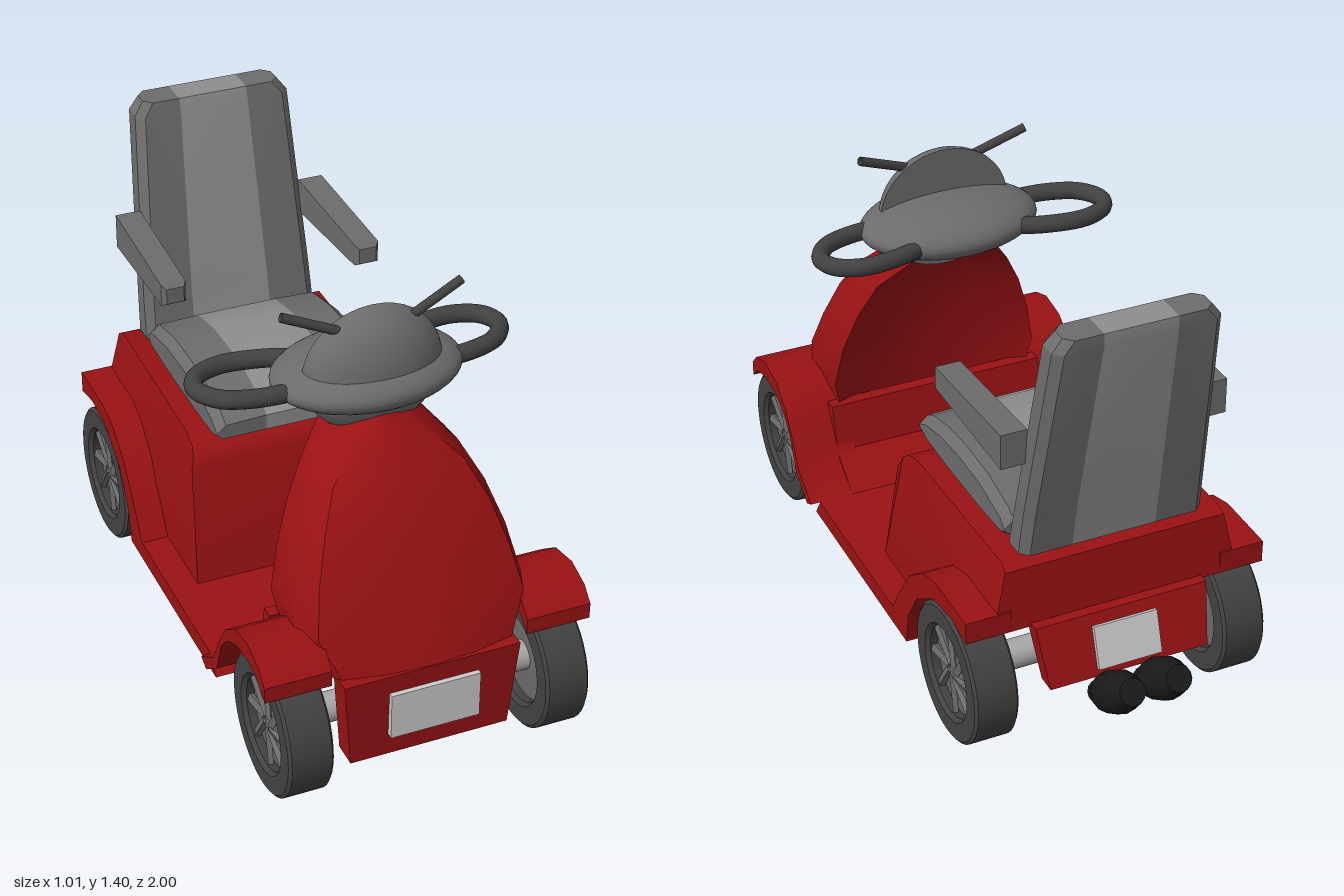
import * as THREE from 'three';
import { toCreasedNormals } from 'three/addons/utils/BufferGeometryUtils.js';

const mat = (color) => new THREE.MeshStandardMaterial({ color, side: THREE.DoubleSide });
const RED = mat(0x9a1214), DARK = mat(0x424242), BLACK = mat(0x1a1a1a), GREY = mat(0x6c6c6c);
const LIGHT = mat(0x8e8e8e), METAL = mat(0xa8a8a8), PLATE = mat(0xcccccc), GLASS = mat(0x2fb4c2);
const V = (x, y, z) => new THREE.Vector3(x, y, z);

// Skin joining cross-sections of equal point count, with capped ends
function loft(rings, crease = 0.5) {
  const tris = [], n = rings[0].length;
  for (let i = 0; i < rings.length - 1; i++) {
    for (let j = 0; j < n; j++) {
      const k = (j + 1) % n, a = rings[i], b = rings[i + 1];
      tris.push([a[j], a[k], b[k]], [a[j], b[k], b[j]]);
    }
  }
  const cap = (r, flip) => {
    const c = r.reduce((s, p) => s.add(p), V(0, 0, 0)).divideScalar(n);
    r.forEach((p, j) => tris.push(flip ? [c, r[(j + 1) % n], p] : [c, p, r[(j + 1) % n]]));
  };
  cap(rings[0], true);
  cap(rings[rings.length - 1], false);
  // Turn the faces outward
  const volume = tris.reduce((s, [a, b, c]) => s + a.dot(V(0, 0, 0).crossVectors(b, c)), 0);
  const pts = tris.flatMap(([a, b, c]) => (volume < 0 ? [a, c, b] : [a, b, c]));
  return toCreasedNormals(new THREE.BufferGeometry().setFromPoints(pts), crease);
}

// Side outline in (z, y), extruded from x0 to x1
function sideExtrude(points, x0, x1) {
  const shape = new THREE.Shape(points.map(([z, y]) => new THREE.Vector2(z, y)));
  const geo = new THREE.ExtrudeGeometry(shape, { depth: x1 - x0, bevelEnabled: false });
  return geo.rotateY(-Math.PI / 2).translate(x1, 0, 0);
}

export function createModel() {
  const model = new THREE.Group();
  const add = (name, geo, material, parent = model) => {
    const m = new THREE.Mesh(geo, material);
    m.name = name;
    parent.add(m);
    return m;
  };
  const creased = (geo) => toCreasedNormals(geo, 0.6);

  // Floor and the ramp rising to the front shield
  add('floor', sideExtrude([[0.45, 0.14], [-0.29, 0.14], [-0.27, 0.2], [0.41, 0.2]], -0.47, 0.47), RED);
  add('footRamp', sideExtrude([[0.45, 0.14], [0.58, 0.27], [0.6, 0.44], [0.56, 0.44], [0.53, 0.29], [0.41, 0.2]], -0.36, 0.36), RED);

  // Rear body, narrower towards the top
  const body = sideExtrude([
    [0.08, 0.19], [0.0, 0.56], [-0.015, 0.6], [-0.04, 0.62], [-0.1, 0.635], [-0.69, 0.65], [-0.715, 0.635],
    [-0.73, 0.44], [-0.63, 0.46], [-0.5, 0.44], [-0.38, 0.36], [-0.31, 0.25], [-0.285, 0.19],
  ], -0.385, 0.385);
  const bp = body.attributes.position;
  for (let i = 0; i < bp.count; i++) {
    const t = THREE.MathUtils.clamp((bp.getY(i) - 0.5) / 0.15, 0, 1);
    bp.setX(i, bp.getX(i) * (1 - 0.12 * t));
  }
  add('rearBody', creased(body), RED);
  add('rearPanel', loft([[0.45, -0.76, 0.27], [0.27, -0.82, 0.25]].map(([y, z, w]) =>
    [V(-w, y, z), V(w, y, z), V(w, y, z + 0.06), V(-w, y, z + 0.06)])), RED);
  const rearPlate = add('rearPlate', new THREE.BoxGeometry(0.2, 0.13, 0.015), PLATE);
  rearPlate.position.set(0, 0.355, -0.798);
  rearPlate.rotation.x = 0.32;

  // Front shield: flat nose, flaring sides, hollowed rear; columns y, nose half-width, half-width, front z, rear z
  const shield = [
    [0.39, 0.26, 0.325, 0.93, 0.585], [0.515, 0.315, 0.35, 0.885, 0.57], [0.645, 0.29, 0.325, 0.83, 0.555],
    [0.775, 0.25, 0.28, 0.775, 0.525], [0.88, 0.2, 0.225, 0.71, 0.495], [0.99, 0.09, 0.125, 0.62, 0.42],
    [1.035, 0.05, 0.075, 0.57, 0.39],
  ].map(([y, f, w, zf, zr]) => {
    const half = [[f * 0.5, zf - 0.008], [f, zf - 0.035], [w, zf - 0.13], [w * 0.98, zr], [w * 0.9, zr + 0.01], [w * 0.5, zr + 0.05]];
    return [V(0, y, zf), ...half.map(([x, z]) => V(x, y, z)), V(0, y, zr + 0.06),
      ...half.reverse().map(([x, z]) => V(-x, y, z))];
  });
  add('frontShield', loft(shield, 0.45), RED);
  add('frontPanel', loft([[0.11, 0.245, 0.92], [0.395, 0.27, 0.932]].map(([y, w, z]) =>
    [V(-w, y, z), V(w, y, z), V(w, y, z - 0.08), V(-w, y, z - 0.08)])), RED);
  add('frontPlate', new THREE.BoxGeometry(0.275, 0.15, 0.02), PLATE).position.set(0.005, 0.26, 0.935);

  // Fenders on both sides
  const frontFender = [
    [0.91, 0.45], [0.87, 0.49], [0.79, 0.517], [0.69, 0.5], [0.61, 0.44], [0.56, 0.36], [0.51, 0.265], [0.41, 0.2],
    [0.45, 0.18], [0.54, 0.25], [0.58, 0.36], [0.63, 0.415], [0.7, 0.45], [0.79, 0.46], [0.87, 0.44], [0.91, 0.4],
  ];
  const rearFender = [
    [-0.18, 0.19], [-0.25, 0.3], [-0.33, 0.41], [-0.43, 0.485], [-0.52, 0.51], [-0.73, 0.51],
    [-0.73, 0.44], [-0.63, 0.46], [-0.5, 0.44], [-0.38, 0.36], [-0.31, 0.25], [-0.29, 0.145],
  ];
  for (const s of [-1, 1]) {
    const span = (a, b) => (s > 0 ? [a, b] : [-b, -a]);
    add('frontFender', creased(sideExtrude(frontFender, ...span(0.3, 0.5))), RED);
    add('rearFender', creased(sideExtrude(rearFender, ...span(0.33, 0.47))), RED);
  }

  // Wheels with swirled spokes, and axles
  const tireProfile = [[0.14, -0.055], [0.15, -0.068], [0.205, -0.068], [0.215, -0.06], [0.215, 0.06],
    [0.205, 0.068], [0.15, 0.068], [0.14, 0.055], [0.14, -0.055]].map(([r, h]) => new THREE.Vector2(r, h));
  const tireGeo = creased(new THREE.LatheGeometry(tireProfile, 40));
  const hubGeo = creased(new THREE.LatheGeometry([[0, -0.04], [0.142, -0.03], [0.142, 0.03], [0.03, 0.045], [0, 0.045]]
    .map(([r, h]) => new THREE.Vector2(r, h)), 28));
  for (const z of [0.787, -0.567]) {
    for (const s of [-1, 1]) {
      const wheel = new THREE.Group();
      wheel.name = z > 0 ? 'frontWheel' : 'rearWheel';
      wheel.position.set(s * 0.396, 0.22, z);
      wheel.rotation.z = -s * Math.PI / 2;
      add('tire', tireGeo, DARK, wheel);
      add('rim', hubGeo, GREY, wheel);
      for (let i = 0; i < 8; i++) {
        const a = i * Math.PI / 4;
        const spoke = add('spoke', new THREE.BoxGeometry(0.12, 0.016, 0.022), GREY, wheel);
        spoke.position.set(Math.cos(a) * 0.08, 0.042, Math.sin(a) * 0.08);
        spoke.rotation.set(0.35, -a + 0.2, 0, 'YXZ');
      }
      model.add(wheel);
    }
    add('axle', new THREE.CylinderGeometry(0.045, 0.045, 0.72, 20).rotateZ(Math.PI / 2), METAL).position.set(0, 0.22, z);
  }

  // Seat cushion and backrest: light centre stripe between two padded sides
  const seat = [[0.015, 0.66, 0.71], [-0.03, 0.645, 0.735], [-0.15, 0.64, 0.762], [-0.28, 0.64, 0.772],
    [-0.42, 0.642, 0.768], [-0.56, 0.65, 0.74], [-0.59, 0.665, 0.715]];
  const back = [[0.66, 0.285, 0.13, -0.59, -0.7], [0.8, 0.28, 0.128, -0.618, -0.722],
    [1.37, 0.25, 0.11, -0.723, -0.828], [1.41, 0.22, 0.11, -0.735, -0.828]];
  add('seatStripe', loft(seat.map(([z, b, t]) => [V(-0.13, b, z), V(0.13, b, z), V(0.13, t, z), V(-0.13, t, z)])), LIGHT);
  add('backrestStripe', loft(back.map(([y, w, c, f, r]) => [V(-c, y, f), V(c, y, f), V(c, y, r), V(-c, y, r)])), LIGHT);
  for (const s of [-1, 1]) {
    add('seatSide', loft(seat.map(([z, b, t]) => [[0.13, b], [0.27, b], [0.288, b + 0.015], [0.288, t - 0.03], [0.26, t - 0.005], [0.13, t]]
      .map(([x, y]) => V(s * x, y, z)))), GREY);
    add('backrestSide', loft(back.map(([y, w, c, f, r]) => [[c, f], [w - 0.025, f], [w, f - 0.025], [w, r + 0.025], [w - 0.025, r], [c, r]]
      .map(([x, z]) => V(s * x, y, z)))), GREY);
    // Armrest with a bevelled front end
    add('armrest', loft([[-0.25, 0.995, 1.045, 0.285, 0.34], [-0.265, 0.985, 1.055, 0.275, 0.352], [-0.69, 0.965, 1.075, 0.265, 0.345]]
      .map(([z, b, t, i, o]) => [V(s * i, b, z), V(s * o, b, z), V(s * o, t, z), V(s * i, t, z)]), 0.2), GREY);
  }

  // Steering console and instrument dome with a flat back
  const console_ = add('steeringConsole', new THREE.SphereGeometry(1, 40, 24), GREY);
  console_.scale.set(0.283, 0.083, 0.197);
  console_.position.set(0, 1.095, 0.443);
  const dome = add('instrumentDome', new THREE.SphereGeometry(1, 32, 20, 0, Math.PI), GREY);
  dome.scale.set(0.21, 0.195, 0.125);
  dome.position.set(0, 1.12, 0.475);
  const domeBack = add('domeBack', new THREE.CircleGeometry(1, 40).rotateY(Math.PI), GREY);
  domeBack.scale.set(0.21, 0.195, 1);
  domeBack.position.copy(dome.position);

  for (const s of [-1, 1]) {
    // Looped handle
    const loop = new THREE.CatmullRomCurve3([[0.15, 0.32], [0.23, 0.29], [0.36, 0.275], [0.44, 0.31], [0.463, 0.37],
      [0.42, 0.44], [0.33, 0.475], [0.2, 0.485]].map(([x, z]) => V(s * x - 0.018, 1.095, z)));
    add('handle', new THREE.TubeGeometry(loop, 40, 0.027, 12), DARK);

    // Mirror: stalk, rounded shell and glass
    const stalk = new THREE.LineCurve3(V(s * 0.1, 1.265, 0.5), V(s * 0.27, 1.335, 0.475));
    add('mirrorStalk', new THREE.TubeGeometry(stalk, 1, 0.014, 10), DARK);
    const mirror = new THREE.Group();
    mirror.name = 'mirror';
    mirror.position.set(s * 0.302, 1.347, 0.475);
    mirror.rotation.set(0.2, 0, s * 0.15);
    const shell = add('mirrorShell', new THREE.SphereGeometry(1, 24, 16, 0, Math.PI), DARK, mirror);
    shell.scale.set(0.08, 0.063, 0.05);
    const glass = add('mirrorGlass', new THREE.SphereGeometry(1, 24, 12, Math.PI, Math.PI), GLASS, mirror);
    glass.scale.set(0.08, 0.063, 0.012);

    // Exhaust pipe, bottle shaped
    const profile = [[0, 0], [0.035, 0], [0.04, 0.06], [0.062, 0.09], [0.064, 0.17], [0.04, 0.255], [0, 0.255]];
    const pipe = add('exhaust', creased(new THREE.LatheGeometry(profile.map(([r, h]) => new THREE.Vector2(r, h)), 14)), BLACK);
    pipe.position.set(s * 0.073, 0.17, -0.77);
    pipe.quaternion.setFromUnitVectors(V(0, 1, 0), V(0, 0.58, -0.81).normalize());
  }
  return model;
}
